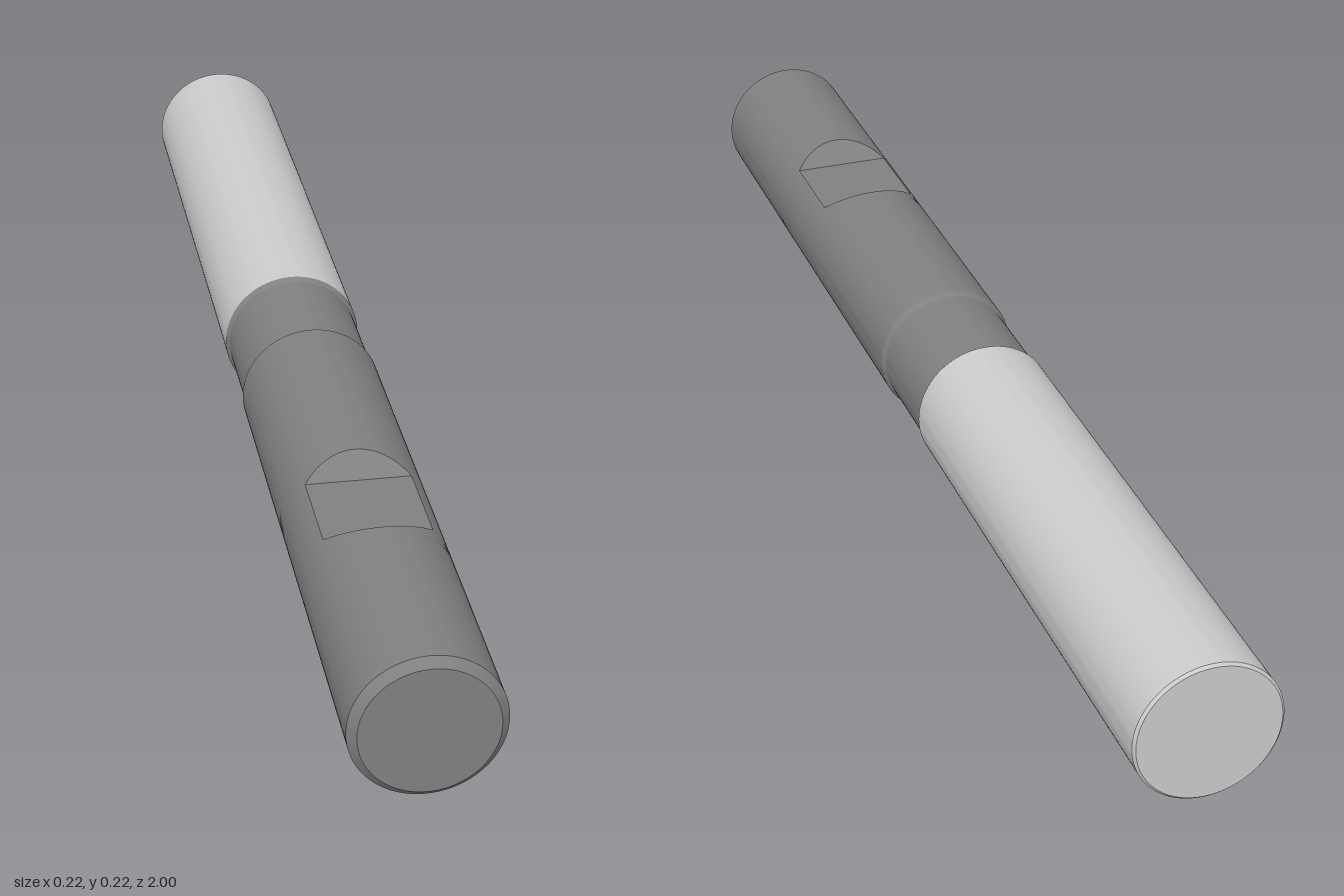
import * as THREE from 'three';
import { toCreasedNormals } from 'three/addons/utils/BufferGeometryUtils.js';

const R = 0.109;        // tool radius
const AXIS_Y = 0.111;   // height of the long axis
const NECK_R = 0.104;
const SEGMENTS = 96;

// Clamping flat: floor height above the axis, and the z range of its floor
const FLAT_H = 0.076, FLAT_BACK = 0.482, FLAT_FRONT = 0.634;
const DEPTH = R - FLAT_H; // 45 degree ramps, so also the ramp length

// Solid of revolution along z from [radius, z] pairs, z ascending
function turned(profile) {
  const points = profile.map(([r, z]) => new THREE.Vector2(r, z));
  const geometry = new THREE.LatheGeometry(points, SEGMENTS).rotateX(Math.PI / 2);
  return toCreasedNormals(geometry, 0.3);
}

// Sections through the flat: z and the half angle removed from the circle
function flatSections() {
  const steps = 12, full = Math.acos(FLAT_H / R), back = [], front = [];
  for (let k = 0; k <= steps; k++) {
    const a = full * k / steps;
    const run = R * Math.cos(a) - FLAT_H;
    back.push({ z: FLAT_BACK - run, a });
    front.unshift({ z: FLAT_FRONT + run, a });
  }
  return [...back, ...front];
}

// Triangles over a grid of points, rows running along z
function gridGeometry(rows) {
  const width = rows[0].length, index = [];
  for (let i = 0; i < rows.length - 1; i++) {
    for (let j = 0; j < width - 1; j++) {
      const p = i * width + j, q = p + width;
      index.push(p, q, p + 1, p + 1, q, q + 1);
    }
  }
  const geometry = new THREE.BufferGeometry();
  geometry.setAttribute('position', new THREE.Float32BufferAttribute(rows.flat(2), 3));
  geometry.setIndex(index);
  return geometry;
}

const onCircle = (t, z) => [R * Math.sin(t), R * Math.cos(t), z];

// Cylinder wall left around the flat
function notchedWall() {
  const rows = flatSections().map(({ z, a }) =>
    Array.from({ length: SEGMENTS + 1 }, (_, j) =>
      onCircle(a + (2 * Math.PI - 2 * a) * j / SEGMENTS, z)));
  const geometry = gridGeometry(rows);
  const normals = rows.flat().flatMap(([x, y]) => [x / R, y / R, 0]);
  geometry.setAttribute('normal', new THREE.Float32BufferAttribute(normals, 3));
  return geometry;
}

// Floor and two ramps of the flat
function notchFaces() {
  const rows = flatSections().map(({ z, a }) => [onCircle(-a, z), onCircle(a, z)]);
  const geometry = gridGeometry(rows).toNonIndexed();
  geometry.computeVertexNormals();
  return geometry;
}

export function createModel() {
  const model = new THREE.Group();
  model.name = 'endMill';
  const tool = new THREE.Group();
  tool.name = 'turnedBody';
  tool.position.y = AXIS_Y;
  model.add(tool);

  const light = new THREE.MeshStandardMaterial({ color: 0xcccccc });
  const dark = new THREE.MeshStandardMaterial({ color: 0x808080 });
  const add = (name, geometry, material) => {
    const mesh = new THREE.Mesh(geometry, material);
    mesh.name = name;
    tool.add(mesh);
  };

  // Cutting end with a fine edge chamfer
  add('cuttingSection', turned([[0, -1], [R - 0.004, -1], [R, -0.996], [R, -0.12]]), light);

  // Relieved neck, flaring to full radius at both ends
  add('neck', turned([[R, -0.12], [NECK_R, -0.111], [NECK_R, 0.06], [R, 0.069]]), dark);

  // Shank on either side of the clamping flat
  add('shankRear', turned([[R, 0.069], [R, FLAT_BACK - DEPTH]]), dark);
  add('shankFront', turned([[R, FLAT_FRONT + DEPTH], [R, 0.9875], [R - 0.0125, 1], [0, 1]]), dark);

  // Clamping flat
  add('shankAroundFlat', notchedWall(), dark);
  add('clampingFlat', notchFaces(), dark);

  return model;
}
